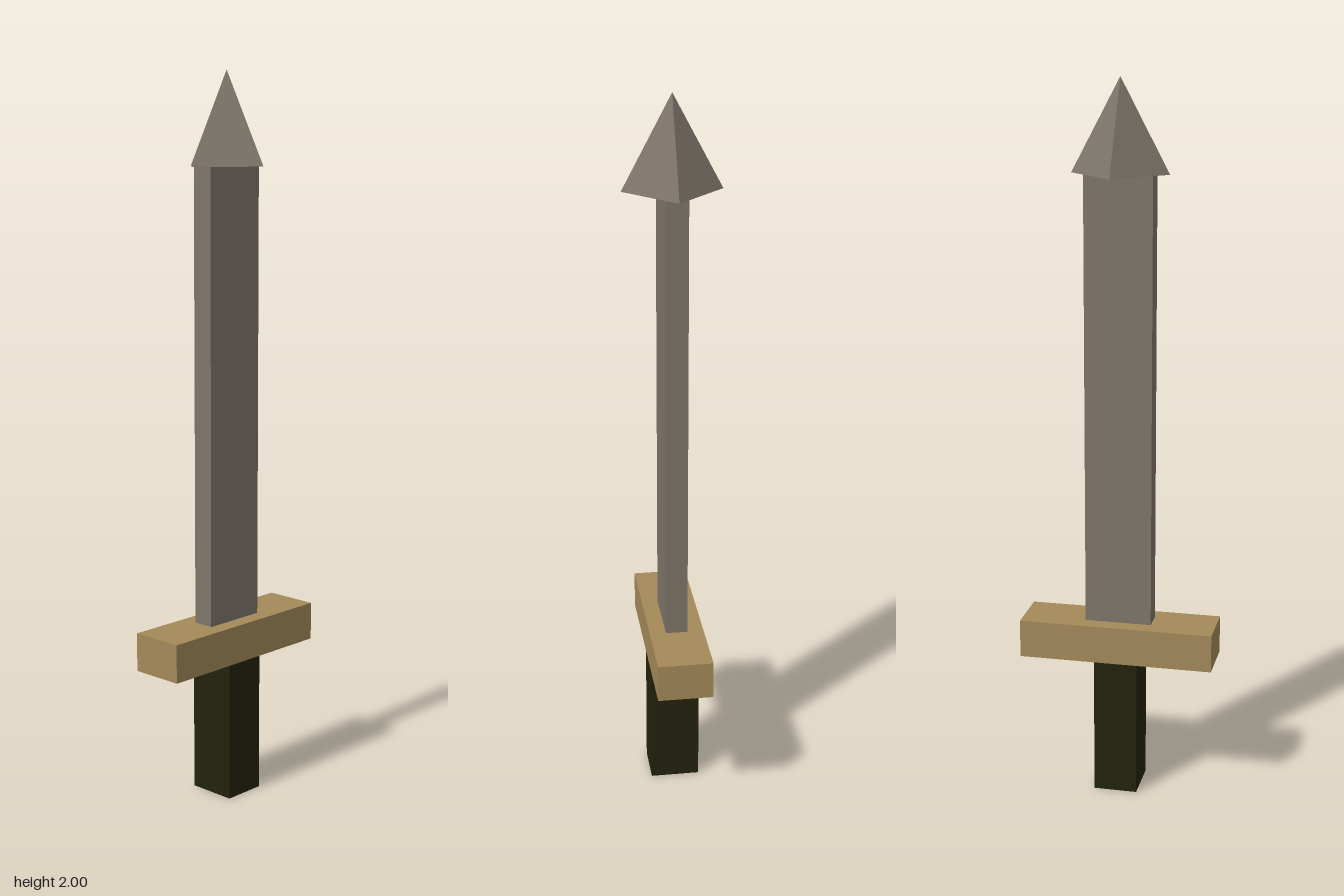
import * as THREE from 'three';

export function createModel() {
  const sword = new THREE.Group();
  sword.name = 'sword';

  const material = (name, color) => {
    const m = new THREE.MeshStandardMaterial({ color, flatShading: true });
    m.name = name;
    return m;
  };
  const steel = material('steel', 0x7e766b);
  const brass = material('brass', 0xa48a5a);
  const leather = material('dark leather', 0x23220e);

  // Adds a part whose underside rests at the given height
  const add = (name, geometry, mat, bottom, height) => {
    const mesh = new THREE.Mesh(geometry, mat);
    mesh.name = name;
    mesh.position.y = bottom + height / 2;
    sword.add(mesh);
  };
  const addBox = (name, mat, width, depth, bottom, top) =>
    add(name, new THREE.BoxGeometry(width, top - bottom, depth), mat, bottom, top - bottom);

  addBox('handle', leather, 0.122, 0.138, 0, 0.393);
  addBox('guard', brass, 0.546, 0.153, 0.393, 0.5);
  addBox('blade', steel, 0.187, 0.061, 0.5, 1.75);

  // Four-sided point with its corners on the x and z axes
  add('tip', new THREE.ConeGeometry(0.133, 0.25, 4), steel, 1.75, 0.25);

  return sword;
}
